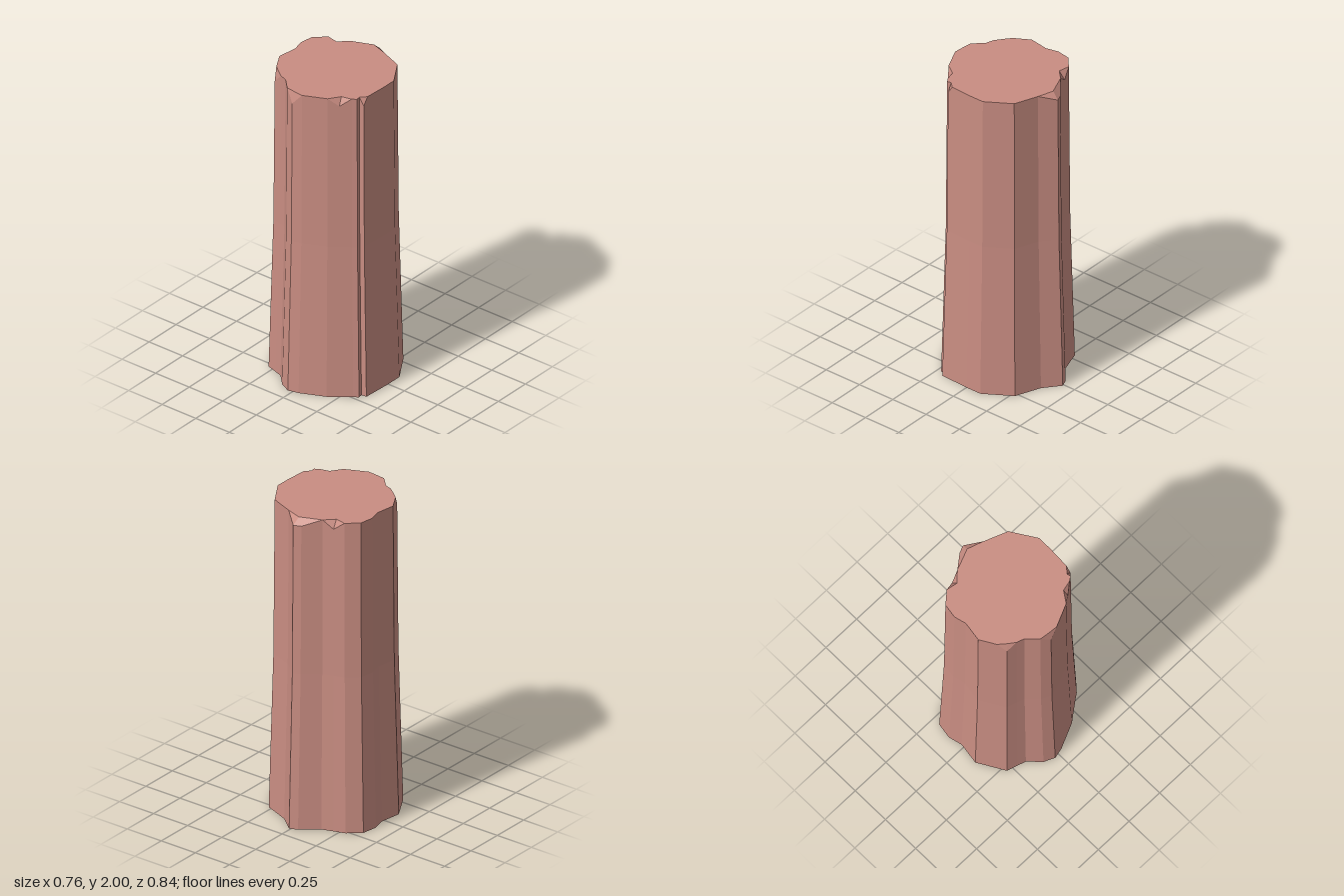
import * as THREE from 'three';

// Outline at the base, as [x, z]. A chipped corner adds [shoulder height, rim x, rim z].
const OUTLINE = [
  [0.01, -0.42, 1.96, 0, -0.34],            // back chip
  [0.11, -0.338], [0.272, -0.275], [0.38, -0.104], [0.38, 0],
  [0.372, 0.154],
  [0.37, 0.19, 1.95, 0.322, 0.158],         // chip beside the groove
  [0.336, 0.193], [0.341, 0.222], [0.313, 0.241],
  [0.25, 0.289, 1.95, 0.22, 0.235],         // front right notch
  [0.19, 0.335], [0.037, 0.404],
  [-0.03, 0.42, 1.93, -0.03, 0.362],        // front chip
  [-0.096, 0.39], [-0.168, 0.317], [-0.22, 0.3],
  [-0.286, 0.28, 1.93, -0.245, 0.24],       // front left chip
  [-0.319, 0.222], [-0.381, 0.115], [-0.36, -0.02], [-0.381, -0.102],
  [-0.365, -0.2], [-0.286, -0.268],
  [-0.215, -0.291, 1.95, -0.19, -0.23],     // back left notch
  [-0.145, -0.315],
  [-0.04, -0.4, 1.96, -0.04, -0.323],       // back chip, second corner
];
const TOP = 0.91;

// Taper: fast in the lower half, slower in the upper half
const taper = (y) => (y < 1 ? 1 - 0.07 * y : 0.93 - 0.02 * (y - 1));

function ringAt(heightOf) {
  return OUTLINE.map((p) => {
    const y = heightOf(p);
    return new THREE.Vector3(p[0] * taper(y), y, p[1] * taper(y));
  });
}

function createTrunkGeometry() {
  const rim = OUTLINE.map(([x, z, drop, rx, rz]) => (drop
    ? new THREE.Vector3(rx, 2, rz)
    : new THREE.Vector3(x * TOP, 2, z * TOP)));
  const rings = [ringAt(() => 0), ringAt(() => 1), ringAt((p) => p[2] ?? 2), rim];
  const positions = [];
  const triangle = (a, b, c) => {
    const area = b.clone().sub(a).cross(c.clone().sub(a)).length();
    if (area > 1e-7) for (const v of [a, b, c]) positions.push(v.x, v.y, v.z);
  };

  // Side walls, then the chipped bevels between shoulder and rim
  for (let r = 0; r < rings.length - 1; r++) {
    const low = rings[r], high = rings[r + 1];
    for (let i = 0; i < low.length; i++) {
      const j = (i + 1) % low.length;
      triangle(low[i], high[i], high[j]);
      triangle(low[i], high[j], low[j]);
    }
  }

  // Flat caps
  const cap = (ring, up) => {
    const flat = ring.map((v) => new THREE.Vector2(v.x, -v.z));
    for (const [a, b, c] of THREE.ShapeUtils.triangulateShape(flat, [])) {
      const facesUp = THREE.ShapeUtils.area([flat[a], flat[b], flat[c]]) > 0;
      if (facesUp === up) triangle(ring[a], ring[b], ring[c]);
      else triangle(ring[a], ring[c], ring[b]);
    }
  };
  cap(rings[0], false);
  cap(rim, true);

  const geometry = new THREE.BufferGeometry();
  geometry.setAttribute('position', new THREE.Float32BufferAttribute(positions, 3));
  geometry.computeVertexNormals();
  return geometry;
}

export function createModel() {
  const group = new THREE.Group();
  group.name = 'chippedPillar';
  const material = new THREE.MeshStandardMaterial({ color: 0xc98d82, flatShading: true });
  const shaft = new THREE.Mesh(createTrunkGeometry(), material);
  shaft.name = 'shaft';
  group.add(shaft);
  return group;
}
